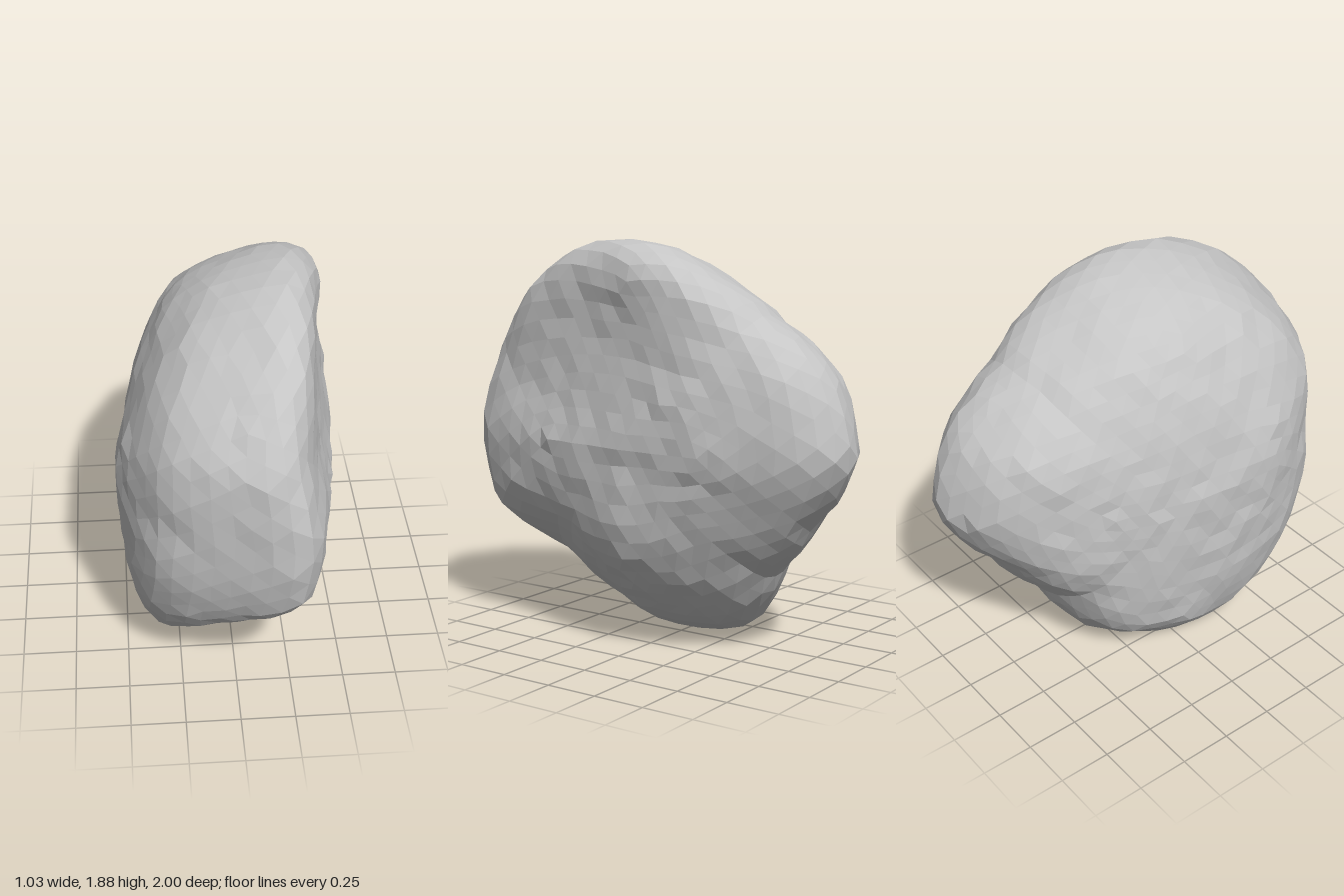
import * as THREE from 'three';

// Sixteen radial cuts around the x axis, from the front (+z) upwards and over to the back.
// Each: outline radius, then x at the flat face, its shoulder, the rim, the outer and the inner bulge.
const CUTS = [
  [1.00, 0.44, 0.35, 0.28, -0.29, -0.51],
  [1.03, 0.39, 0.26, 0.17, -0.31, -0.50],
  [1.00, 0.38, 0.31, 0.22, -0.26, -0.45],
  [0.97, 0.39, 0.34, 0.25, -0.20, -0.42],
  [0.91, 0.42, 0.40, 0.25, -0.20, -0.40],
  [0.84, 0.44, 0.40, 0.27, -0.21, -0.39],
  [0.83, 0.47, 0.35, 0.18, -0.20, -0.38],
  [0.95, 0.48, 0.33, 0.18, -0.22, -0.36],
  [1.00, 0.48, 0.31, 0.16, -0.17, -0.36],
  [0.85, 0.47, 0.29, 0.14, -0.26, -0.40],
  [0.81, 0.47, 0.24, 0.08, -0.28, -0.42],
  [0.95, 0.46, 0.15, -0.04, -0.35, -0.45],
  [0.95, 0.48, 0.12, -0.25, -0.43, -0.48],
  [0.96, 0.45, 0.02, -0.34, -0.45, -0.50],
  [0.95, 0.42, 0.07, -0.25, -0.45, -0.51],
  [1.01, 0.43, 0.33, 0.22, -0.36, -0.51],
];
const CENTRE_Y = 0.95;

// Profile of one cut from the flat face, over the blunt rim, to the bulging side
function cutCurve([radius, face, shoulder, rim, outer, inner]) {
  const blunt = THREE.MathUtils.lerp(rim, outer, 0.4);
  const profile = [[0, 0.5], [0.5, face], [0.92, shoulder], [1, rim], [0.965, blunt], [0.82, outer], [0.45, inner], [0, -0.49]];
  return new THREE.CatmullRomCurve3(profile.map(([r, x]) => new THREE.Vector3(radius * r, x, 0)));
}

// Small repeatable unevenness, the same for coincident corners
function chip(x, y, z) {
  const n = Math.sin(Math.round(x * 1e3) * 12.99 + Math.round(y * 1e3) * 78.23 + Math.round(z * 1e3) * 37.72) * 4375.85;
  return n - Math.floor(n) - 0.5;
}

function boulderGeometry() {
  const curves = CUTS.map(cutCurve);
  const geo = new THREE.IcosahedronGeometry(1, 9);
  geo.deleteAttribute('uv');
  const pos = geo.attributes.position;
  const v = new THREE.Vector3();
  for (let i = 0; i < pos.count; i++) {
    v.fromBufferAttribute(pos, i).normalize();
    const t = Math.acos(THREE.MathUtils.clamp(v.x, -1, 1)) / Math.PI;
    const angle = (Math.atan2(v.y, v.z) + 2 * Math.PI) % (2 * Math.PI);
    const k = angle / (2 * Math.PI) * CUTS.length;
    const a = Math.floor(k) % CUTS.length;
    // Blend the two neighbouring cuts
    const p = curves[a].getPointAt(t).lerp(curves[(a + 1) % CUTS.length].getPointAt(t), k - Math.floor(k));
    const r = p.x * (1 + 0.012 * chip(v.x, v.y, v.z));
    const x = p.y + 0.014 * chip(v.y, v.z, v.x);
    pos.setXYZ(i, x, CENTRE_Y + r * Math.sin(angle), r * Math.cos(angle));
  }
  geo.computeBoundingBox();
  geo.translate(0, -geo.boundingBox.min.y, 0); // rest on the ground
  geo.computeVertexNormals(); // unshared corners give flat facets
  return geo;
}

export function createModel() {
  const group = new THREE.Group();
  group.name = 'rock';
  const stone = new THREE.MeshStandardMaterial({ color: 0xc5c5c5, flatShading: true });
  stone.name = 'stone grey';
  const boulder = new THREE.Mesh(boulderGeometry(), stone);
  boulder.name = 'boulder';
  group.add(boulder);
  return group;
}
